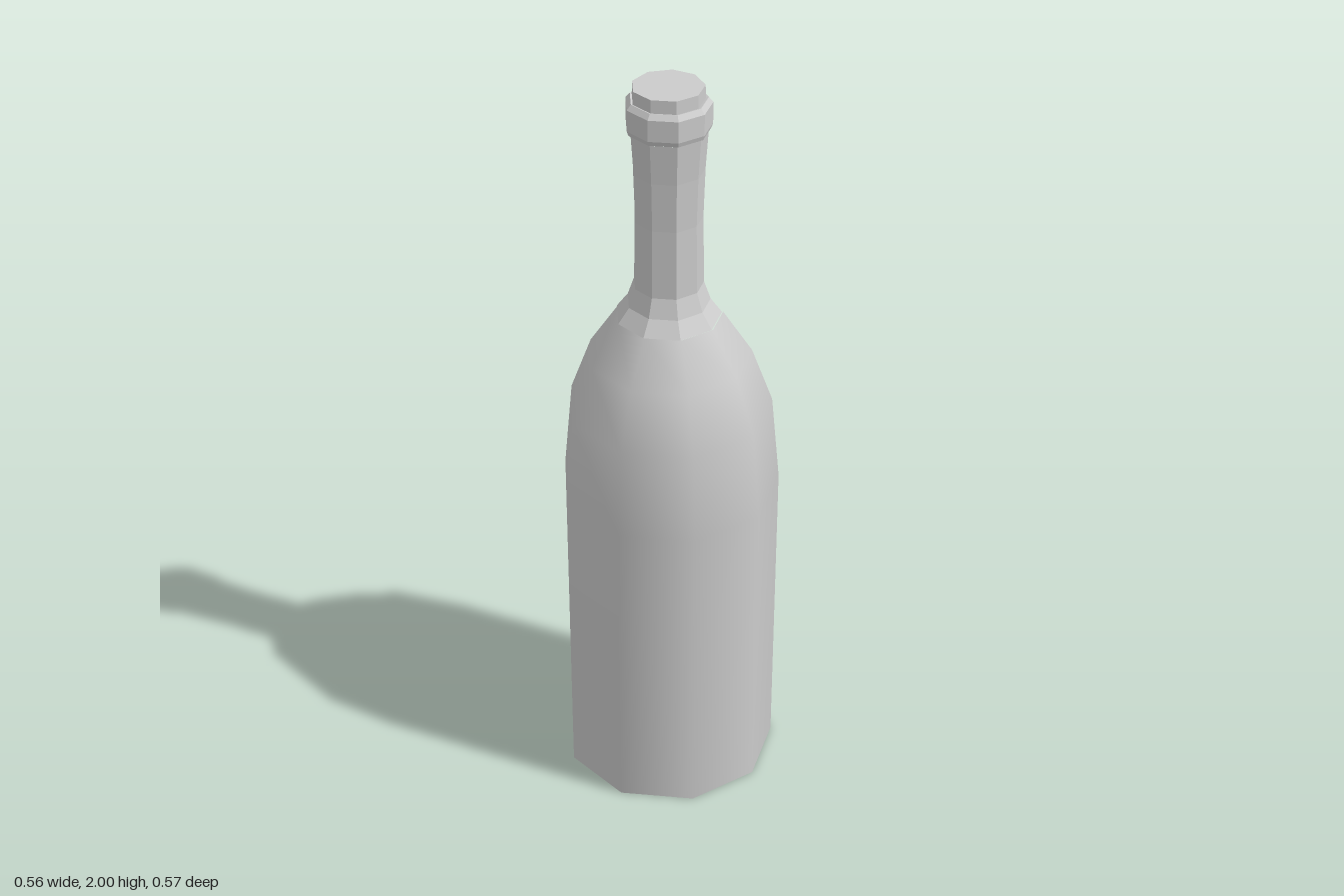
import * as THREE from 'three';

const SIDES = 9;

export function createModel() {
  const group = new THREE.Group();
  const smooth = new THREE.MeshStandardMaterial({ color: 0xcccccc });
  const faceted = new THREE.MeshStandardMaterial({ color: 0xcccccc, flatShading: true });

  // Nine-sided turned part from [radius, height] pairs, with a corner on -x
  function turned(name, profile, material, x) {
    const points = profile.map(([r, y]) => new THREE.Vector2(r, y));
    const mesh = new THREE.Mesh(new THREE.LatheGeometry(points, SIDES, -Math.PI / 2), material);
    mesh.name = name;
    mesh.position.x = x;
    group.add(mesh);
  }

  // Smooth body and rounded shoulder
  turned('body', [[0.288, 0], [0.288, 0.87], [0.265, 1.11], [0.21, 1.26], [0.135, 1.375]], smooth, 0.008);

  // Flat underside
  const base = new THREE.Mesh(new THREE.CircleGeometry(0.288, SIDES, Math.PI), faceted);
  base.name = 'base';
  base.geometry.rotateX(Math.PI / 2);
  base.position.x = 0.008;
  group.add(base);

  // Faceted neck, flared at both ends
  turned('neck', [[0.135, 1.375], [0.106, 1.415], [0.089, 1.465], [0.086, 1.65], [0.09, 1.78], [0.097, 1.885]], faceted, 0.005);

  // Raised ring around the mouth
  turned('lip', [[0.093, 1.885], [0.103, 1.888], [0.107, 1.9], [0.107, 1.955], [0.096, 1.968], [0.086, 1.965]], faceted, 0.005);

  // Stopper standing just above the lip
  turned('stopper', [[0.091, 1.94], [0.089, 2], [0, 2]], faceted, 0.004);

  return group;
}
